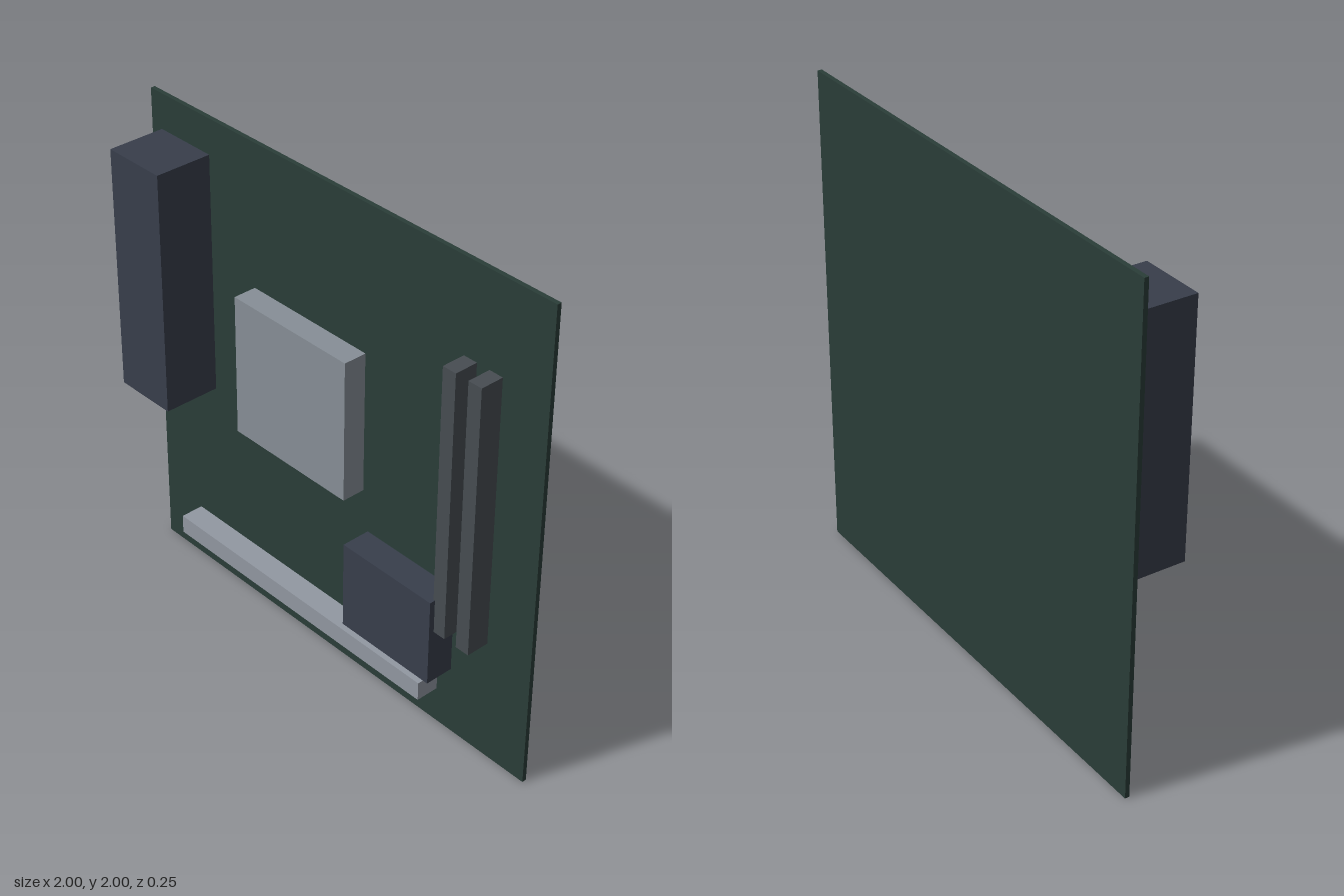
import * as THREE from 'three';

const BOARD_BACK = -0.127;
const BOARD_FRONT = -0.109;

// Box given by its extents on each axis
function block(name, color, [x0, x1], [y0, y1], [z0, z1]) {
  const mesh = new THREE.Mesh(
    new THREE.BoxGeometry(x1 - x0, y1 - y0, z1 - z0),
    new THREE.MeshStandardMaterial({ color })
  );
  mesh.name = name;
  mesh.position.set((x0 + x1) / 2, (y0 + y1) / 2, (z0 + z1) / 2);
  return mesh;
}

export function createModel() {
  const group = new THREE.Group();
  group.name = 'circuitBoard';

  // Thin square board standing upright
  group.add(block('board', 0x2a3d38, [-1, 1], [0, 2], [BOARD_BACK, BOARD_FRONT]));

  // Components mounted on the front face: name, color, x range, y range, front z
  const parts = [
    ['portBlock', 0x383e4b, [-0.945, -0.677], [0.857, 1.855], 0.127],
    ['processorSocket', 0x878f97, [-0.437, 0.148], [0.828, 1.412], -0.013],
    ['chipsetHeatsink', 0x383e4b, [0.175, 0.622], [0.288, 0.657], 0.01],
    ['expansionSlot', 0x9298a2, [-0.794, 0.555], [0.152, 0.231], -0.013],
  ];
  for (const [name, color, x, y, front] of parts) {
    group.add(block(name, color, x, y, [BOARD_FRONT, front]));
  }

  // Pair of upright memory slots
  [0.615, 0.732].forEach((x, i) => {
    group.add(block(`memorySlot${i + 1}`, 0x474d52, [x, x + 0.06], [0.515, 1.63], [BOARD_FRONT, -0.013]));
  });

  return group;
}
